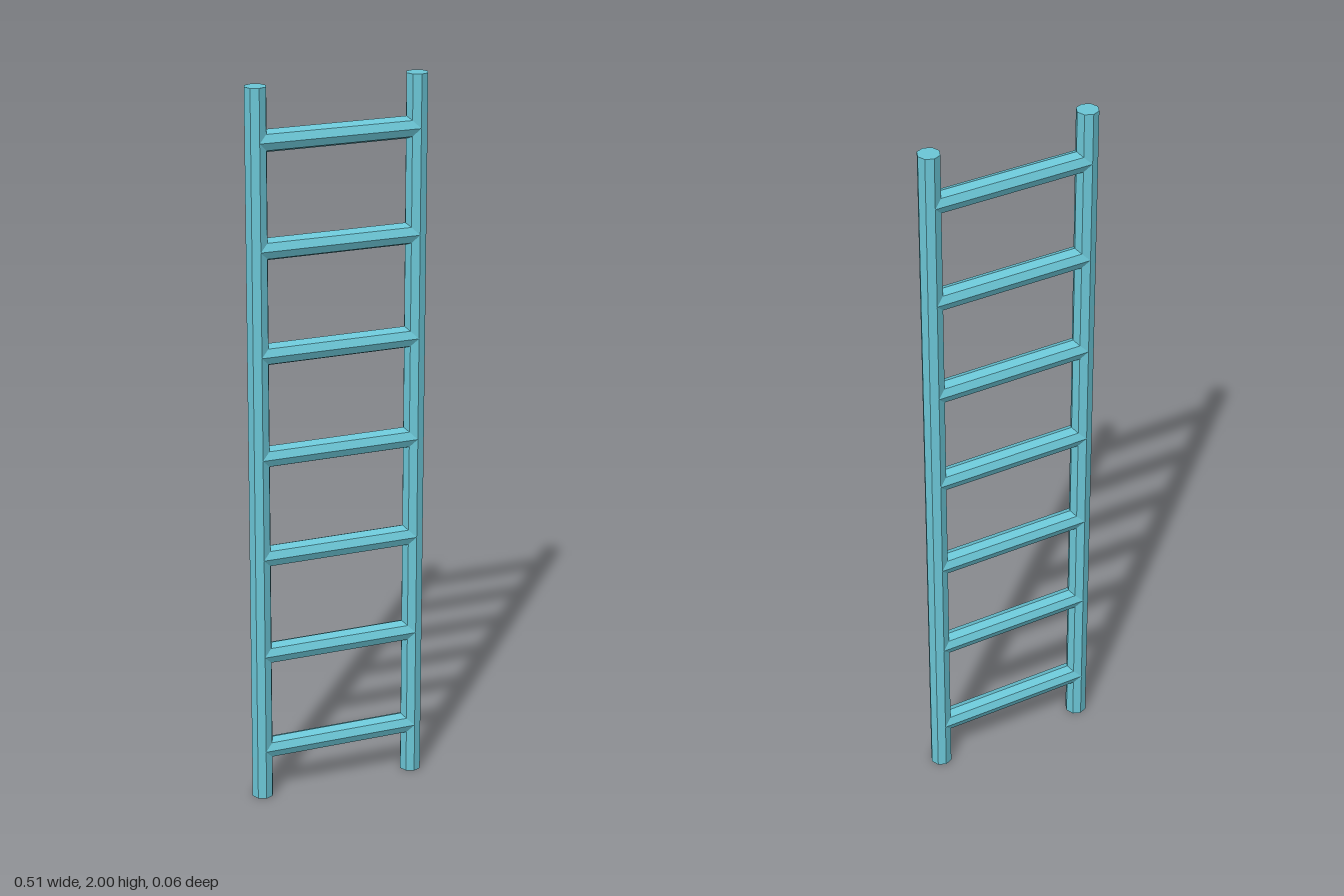
import * as THREE from 'three';

export function createModel() {
  const ladder = new THREE.Group();
  ladder.name = 'ladder';
  const material = new THREE.MeshStandardMaterial({ color: 0x6cc8d8, flatShading: true });

  const radius = 0.03, height = 2, railX = 0.223, rungCount = 7;

  // Two upright octagonal rails
  const railGeometry = new THREE.CylinderGeometry(radius, radius, height, 8);
  for (const [name, side] of [['leftRail', 1], ['rightRail', -1]]) {
    const rail = new THREE.Mesh(railGeometry, material);
    rail.name = name;
    rail.position.set(side * railX, height / 2, 0);
    ladder.add(rail);
  }

  // Evenly spaced octagonal rungs, reaching to the rail centres
  const rungGeometry = new THREE.CylinderGeometry(radius, radius, railX * 2, 8);
  rungGeometry.rotateZ(Math.PI / 2);
  for (let i = 0; i < rungCount; i++) {
    const rung = new THREE.Mesh(rungGeometry, material);
    rung.name = `rung${i + 1}`;
    rung.position.y = (i + 0.5) * height / rungCount;
    ladder.add(rung);
  }

  return ladder;
}
